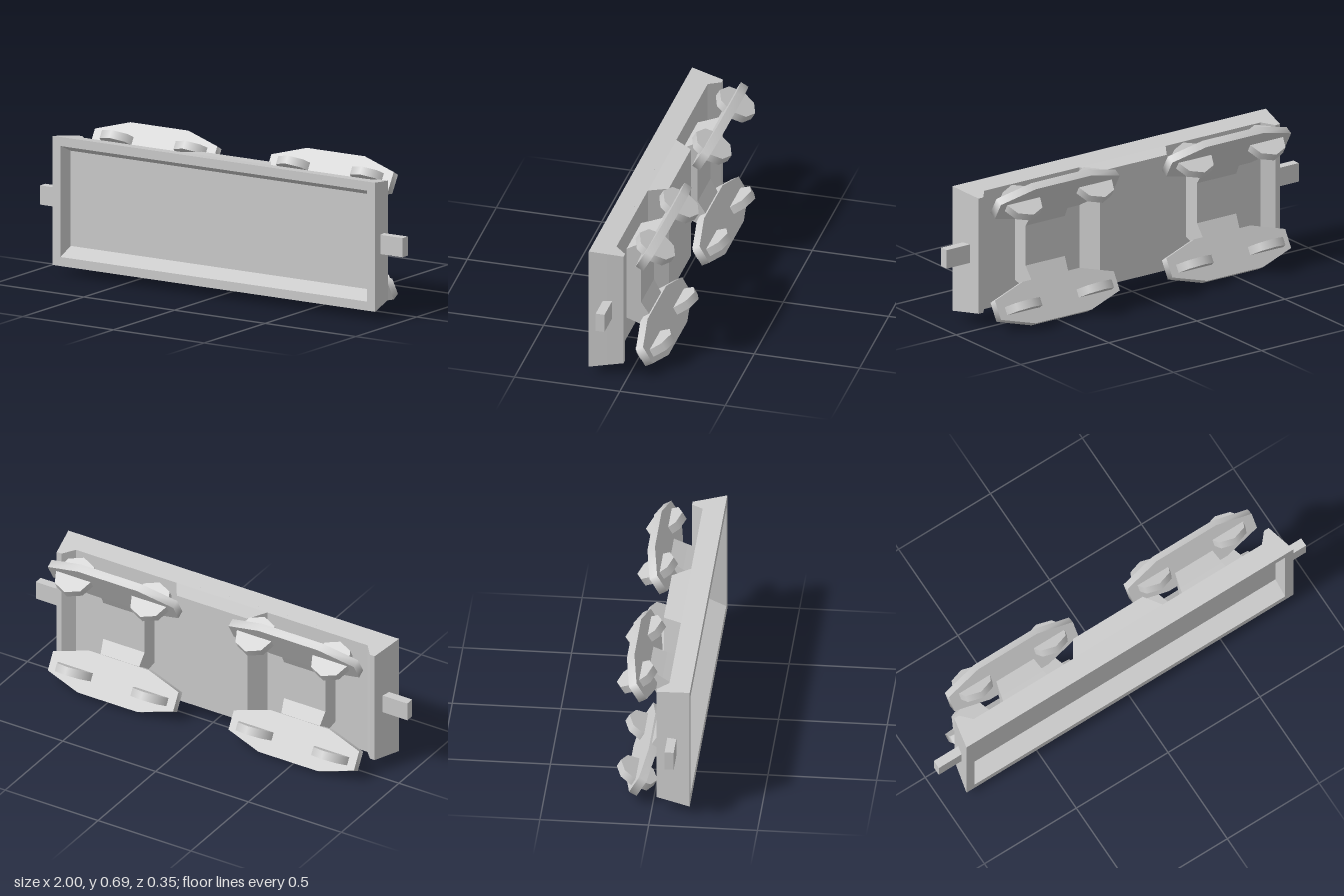
import * as THREE from 'three';

const MID = 0.345; // height of the long axis, everything mirrors about it
const grey = () => new THREE.MeshStandardMaterial({ color: 0xcccccc });
const flat = () => new THREE.MeshStandardMaterial({ color: 0xcccccc, flatShading: true });

function part(name, geometry, material, x = 0, y = 0, z = 0) {
  const mesh = new THREE.Mesh(geometry, material);
  mesh.name = name;
  mesh.position.set(x, y, z);
  return mesh;
}

// Move every vertex by a rule that edits the vector in place
function reshape(geometry, rule) {
  const p = geometry.attributes.position;
  const v = new THREE.Vector3();
  for (let i = 0; i < p.count; i++) {
    rule(v.fromBufferAttribute(p, i));
    p.setXYZ(i, v.x, v.y, v.z);
  }
  geometry.computeVertexNormals();
  return geometry;
}

const polygon = pts => new THREE.Shape(pts.map(([a, b]) => new THREE.Vector2(a, b)));
const rectangle = (w, h) => [[-w, -h], [w, -h], [w, h], [-w, h]];

// Tray rim: outer walls taper to the back, inner top and bottom walls slope inward
function trayRim() {
  const shape = polygon(rectangle(0.89, 0.3025));
  shape.holes.push(polygon(rectangle(0.845, 0.26)));
  const g = new THREE.ExtrudeGeometry(shape, { depth: 0.083, bevelEnabled: false });
  return reshape(g, v => {
    if (v.z > 0.01) return;
    if (Math.abs(v.x) > 0.87) {
      v.x = Math.sign(v.x) * 0.872;
      v.y = Math.sign(v.y) * 0.2903;
    } else v.y = Math.sign(v.y) * 0.223;
  });
}

// Back of the body: stepped plan outline (x, z) extruded upward, height tapering with z
function backSlab() {
  const half = [[0.872, 0.095], [0.856, 0.022], [0.83, 0.022], [0.785, 0.075], [0.245, 0.075], [0.19, -0.009]];
  const outline = [...half, ...half.map(([x, z]) => [-x, z]).reverse()];
  const g = new THREE.ExtrudeGeometry(polygon(outline.map(([x, z]) => [x, -z])), { depth: 2, bevelEnabled: false });
  g.rotateX(-Math.PI / 2).translate(0, -1, 0);
  return reshape(g, v => {
    v.y *= 0.28 + 0.0225 * Math.max(0, v.z - 0.025) / 0.153;
  });
}

// Bogie frame: channel section (y, z) extruded along x, narrowing to the back
function bogieFrame() {
  const half = [[0.17, 0.08], [0.245, -0.05], [0.165, -0.03], [0.097, 0.01]];
  half[0] = [0.178, 0.08];
  const upper = [[0.178, 0.08], [0.205, 0.025], ...half.slice(1)];
  const section = [...upper, ...upper.map(([y, z]) => [-y, z]).reverse()];
  const g = new THREE.ExtrudeGeometry(polygon(section.map(([y, z]) => [-z, y])), { depth: 2, bevelEnabled: false });
  g.rotateY(Math.PI / 2).translate(-1, 0, 0);
  return reshape(g, v => { v.x *= 0.1 + 0.025 * (v.z + 0.045) / 0.12; });
}

// Side plate: eight-sided disc stretched into a long plate
function sidePlate() {
  const g = new THREE.CylinderGeometry(1, 1, 0.04, 8, 1, false, Math.PI / 8);
  return reshape(g, v => {
    if (Math.hypot(v.x, v.z) < 0.5) return;
    const end = Math.abs(v.x) > 0.6;
    v.x = Math.sign(v.x) * (end ? 0.3375 : 0.16);
    v.z = Math.sign(v.z) * (end ? 0.046 : 0.1);
  });
}

function bogie() {
  const group = new THREE.Group();
  group.name = 'bogie';
  group.add(part('bogieFrame', bogieFrame(), flat()));
  for (const s of [1, -1]) {
    const tilt = a => (s > 0 ? a : Math.PI - a);
    const plate = part('sidePlate', sidePlate(), grey(), 0, s * 0.249, -0.067);
    plate.rotation.x = tilt(Math.PI / 3);
    group.add(plate);
    // Wheels cross the plate at a right angle
    for (const x of [-0.2035, 0.2035]) {
      const wheel = part('wheel', new THREE.CylinderGeometry(0.097, 0.097, 0.039, 8), grey(), x, s * 0.255, -0.083);
      wheel.rotation.x = tilt(-Math.PI / 6);
      group.add(wheel);
    }
  }
  return group;
}

export function createModel() {
  const model = new THREE.Group();
  model.name = 'wagonChassis';
  model.add(part('trayRim', trayRim(), flat(), 0, MID, 0.095));
  model.add(part('backSlab', backSlab(), flat(), 0, MID, 0));
  for (const s of [-1, 1]) {
    model.add(part('coupler', new THREE.BoxGeometry(0.14, 0.09, 0.042), flat(), s * 0.93, MID, 0.094));
    const b = bogie();
    b.position.set(s * 0.4865, MID, 0);
    model.add(b);
  }
  return model;
}
